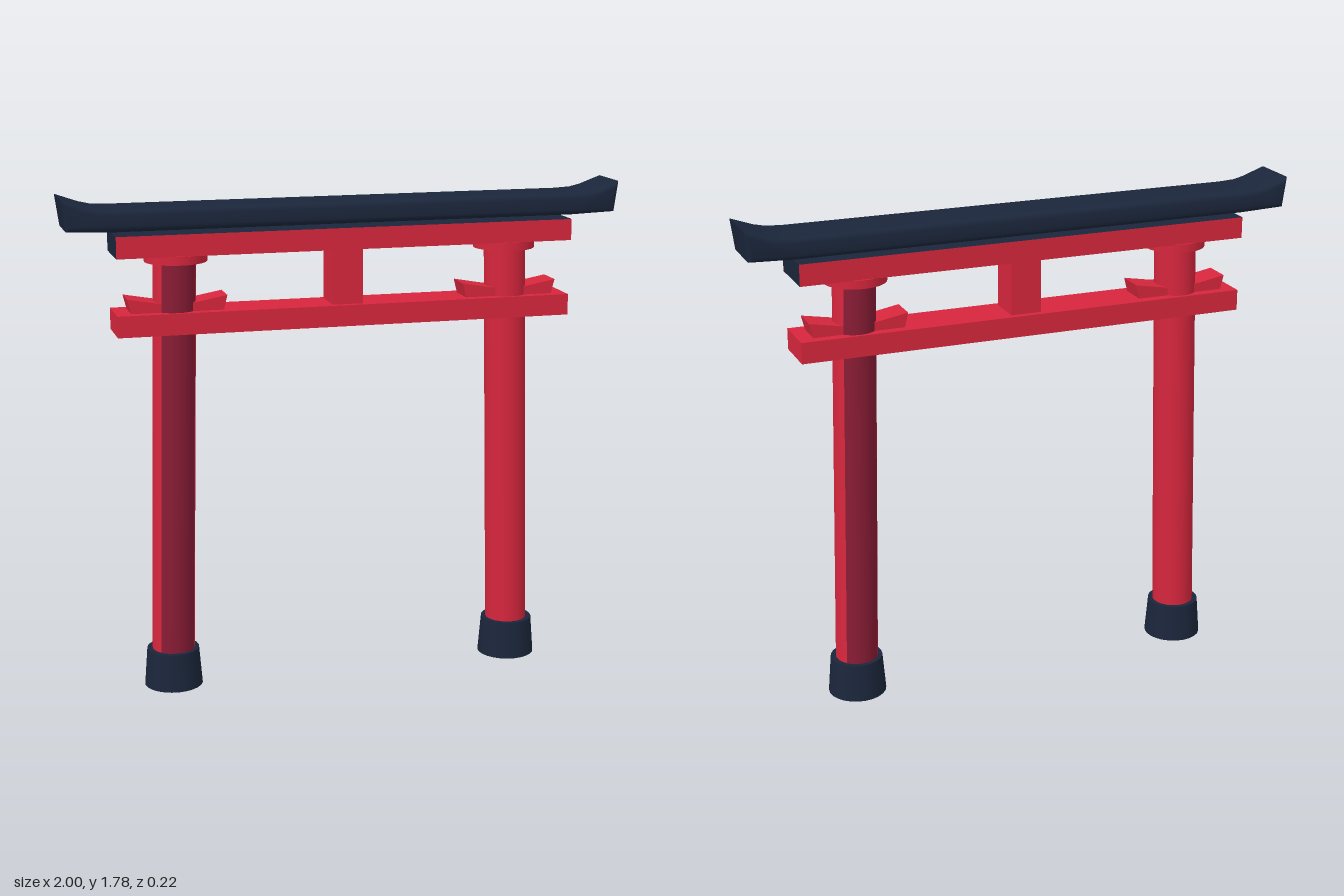
import * as THREE from 'three';
import { toCreasedNormals } from 'three/addons/utils/BufferGeometryUtils.js';

export function createModel() {
  const red = new THREE.MeshStandardMaterial({ color: 0xd7263d });
  red.name = 'vermilion';
  const navy = new THREE.MeshStandardMaterial({ color: 0x1b263b });
  navy.name = 'navy';
  const wine = new THREE.MeshStandardMaterial({ color: 0x8a1c35 });
  wine.name = 'dark wine';

  const model = new THREE.Group();
  model.name = 'gateway';

  const add = (name, geometry, material, x = 0, y = 0, z = 0, parent = model) => {
    const mesh = new THREE.Mesh(geometry, material);
    mesh.name = name;
    mesh.position.set(x, y, z);
    parent.add(mesh);
    return mesh;
  };
  const box = (name, w, y0, y1, d, material) =>
    add(name, new THREE.BoxGeometry(w, y1 - y0, d), material, 0, (y0 + y1) / 2);
  const shapeOf = (points) => new THREE.Shape(points.map(([x, y]) => new THREE.Vector2(x, y)));

  // Top lintel: flat in the middle, ends swept up, edges softened
  const end = [[0.82, 1.67], [0.985, 1.676], [1, 1.785], [0.92, 1.757], [0.88, 1.748], [0.82, 1.745]];
  const outline = [...end, ...end.map(([x, y]) => [-x, y]).reverse()];
  const bevel = 0.018;
  const roof = new THREE.ExtrudeGeometry(shapeOf(outline), {
    depth: 0.204 - 2 * bevel, bevelEnabled: true, bevelSize: bevel,
    bevelThickness: bevel, bevelOffset: -bevel, bevelSegments: 3,
  });
  roof.translate(0, 0, -0.102 + bevel);
  add('topLintel', toCreasedNormals(roof, 0.6), navy);

  // Cross beams and centre strut; the upper beam has dark ends and top
  box('upperBeam', 1.64, 1.58, 1.656, 0.202, [navy, navy, navy, red, red, red]);
  box('lowerBeam', 1.64, 1.306, 1.381, 0.174, red);
  box('centreStrut', 0.11, 1.38, 1.582, 0.13, red);

  // Wedge profile, pointing away from the post
  const wedge = new THREE.ExtrudeGeometry(
    shapeOf([[0.03, 1.38], [0.162, 1.38], [0.175, 1.432], [0.075, 1.414], [0.03, 1.408]]),
    { depth: 0.104, bevelEnabled: false });
  wedge.translate(0, 0, -0.052);

  for (const side of [1, -1]) {
    // Post leaning inwards, with a dark strip down one face
    const post = add('post', new THREE.CylinderGeometry(0.075, 0.0765, 1.5, 24), red, side * 0.622, 0.81);
    post.rotation.z = side * 0.0245;
    const start = (side > 0 ? Math.PI : 0) - Math.PI / 4;
    const strip = new THREE.CylinderGeometry(0.076, 0.0775, 1.48, 7, 1, true, start, Math.PI * 7 / 12);
    add('postStrip', strip, wine, 0, 0, 0, post);

    // Foot and cap
    add('postFoot', new THREE.CylinderGeometry(0.094, 0.105, 0.138, 24), navy, side * 0.64, 0.069);
    add('postCap', new THREE.CylinderGeometry(0.11, 0.11, 0.03, 24), red, side * 0.6, 1.566);

    // Pair of wedges on the lower beam
    const wedges = new THREE.Group();
    wedges.name = 'wedges';
    wedges.position.x = side * 0.605;
    model.add(wedges);
    add('wedge', wedge, red, 0, 0, 0, wedges);
    add('wedge', wedge, red, 0, 0, 0, wedges).rotation.y = Math.PI;
  }
  return model;
}
